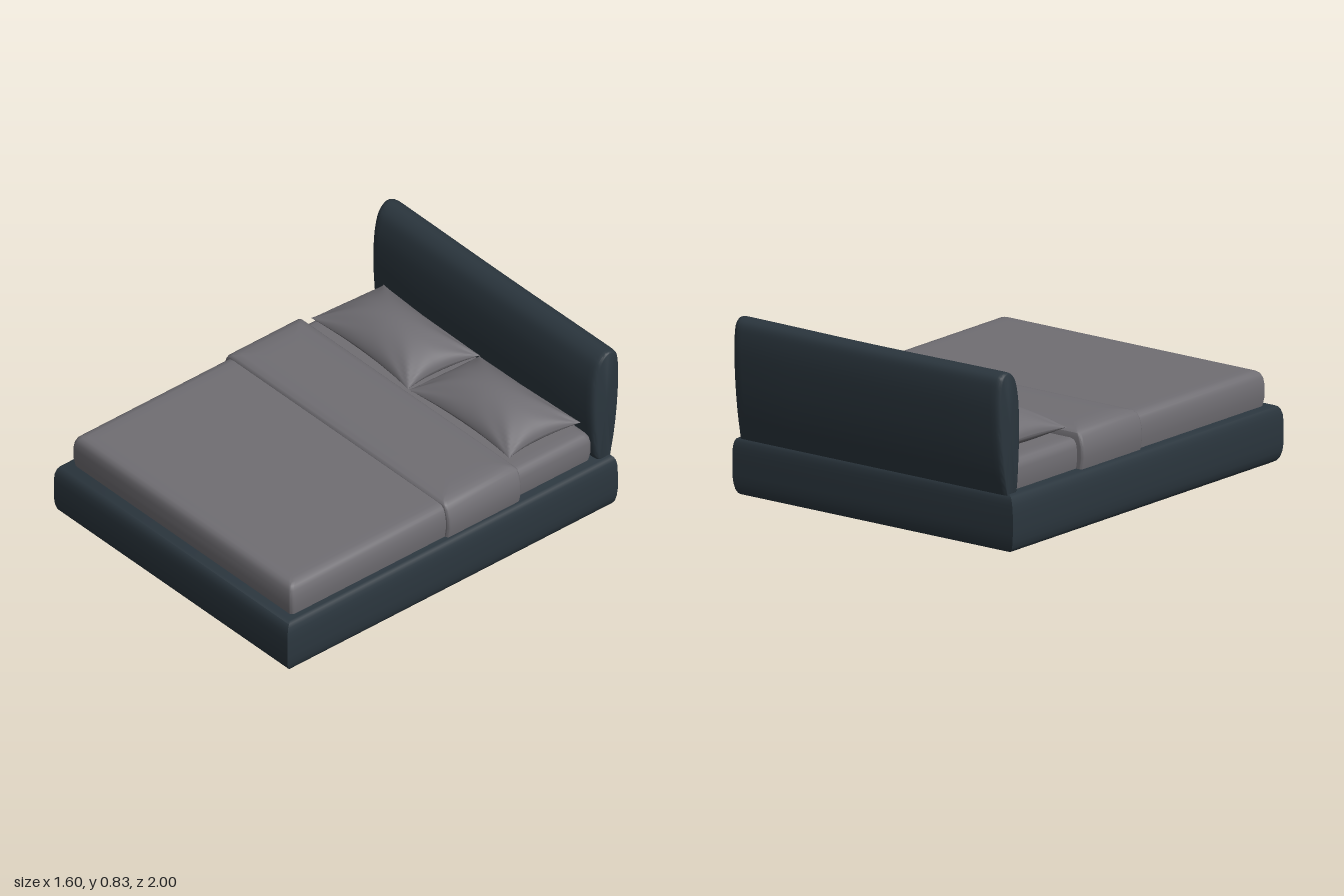
import * as THREE from 'three';
import { toCreasedNormals } from 'three/addons/utils/BufferGeometryUtils.js';

// Skin over a stack of closed rings, capped at both ends
function loft(rings, crease = 0.7) {
  const n = rings[0].length, pos = [], idx = [];
  rings.forEach(r => r.forEach(p => pos.push(p.x, p.y, p.z)));
  for (let j = 0; j < rings.length - 1; j++) {
    for (let i = 0; i < n; i++) {
      const a = j * n + i, b = j * n + (i + 1) % n;
      idx.push(a, a + n, b, b, a + n, b + n);
    }
  }
  [0, rings.length - 1].forEach((j, end) => {
    const c = rings[j].reduce((s, p) => s.add(p), new THREE.Vector3()).divideScalar(n);
    const centre = pos.length / 3;
    pos.push(c.x, c.y, c.z);
    for (let i = 0; i < n; i++) {
      const a = j * n + i, b = j * n + (i + 1) % n;
      if (end) idx.push(centre, b, a); else idx.push(centre, a, b);
    }
  });
  const g = new THREE.BufferGeometry();
  g.setAttribute('position', new THREE.Float32BufferAttribute(pos, 3));
  g.setIndex(idx);
  return toCreasedNormals(g, crease);
}

// Horizontal rectangle with corner radius r (r = 0 keeps square corners)
function rectRing([y, hx, zBack, zFront], r) {
  const steps = r > 0 ? 5 : 1, ring = [];
  const corners = [[1, 1], [-1, 1], [-1, -1], [1, -1]];
  corners.forEach(([sx, sz], q) => {
    for (let k = 0; k < steps; k++) {
      const t = (q + (steps > 1 ? k / (steps - 1) : 0)) * Math.PI / 2;
      ring.push(new THREE.Vector3(
        sx * (hx - r) + r * Math.cos(t), y,
        (sz > 0 ? zFront - r : zBack + r) + r * Math.sin(t)));
    }
  });
  return ring;
}
const cushion = (levels, r) => loft(levels.map(l => rectRing(l, r)));

// Padded headboard: side profile swept across the width, slightly thinner at the ends
function headboardGeometry() {
  const profile = new THREE.CatmullRomCurve3([
    [0.262, -0.868], [0.275, -0.86], [0.40, -0.845], [0.58, -0.838], [0.72, -0.85], [0.80, -0.88],
    [0.832, -0.93], [0.815, -0.98], [0.74, -0.999], [0.55, -0.993], [0.38, -0.97], [0.262, -0.943],
  ].map(([y, z]) => new THREE.Vector3(0, y, z)), false, 'centripetal').getPoints(55);
  // [x, thickness scale, height scale]
  const half = [[0.761, 0.72, 0.985], [0.758, 0.84, 0.993], [0.75, 0.93, 0.998], [0.735, 0.98, 1],
    [0.71, 1, 1], [0.45, 1, 0.997], [0.2, 1, 0.993]];
  const stations = [...half.map(([x, t, h]) => [-x, t, h]), [0, 1, 0.992],
    ...half.slice().reverse()];
  return loft(stations.map(([x, thick, h]) => profile.map(p => new THREE.Vector3(
    x, 0.262 + (p.y - 0.262) * h, -0.925 + (p.z + 0.925) * thick))), 0.9);
}

// Pillow: two domed sheets meeting at a pinched seam, stretched between four corners
function pillowGeometry([bl, br, fr, fl]) {
  const N = 36, M = 28, seam = 0.455, pos = [], idx = [];
  for (const side of [1, -1]) {
    const start = pos.length / 3;
    for (let j = 0; j <= M; j++) {
      for (let i = 0; i <= N; i++) {
        const u = -Math.cos(i / N * Math.PI), v = -Math.cos(j / M * Math.PI);
        const du = Math.max(0, 1 - u * u), dv = Math.max(0, 1 - v * v);
        const s = (u * (1 - 0.1 * dv) + 1) / 2, t = (v * (1 - 0.13 * du) + 1) / 2;
        const mix = k => (bl[k] * (1 - s) + br[k] * s) * (1 - t) + (fl[k] * (1 - s) + fr[k] * s) * t;
        const dome = Math.pow(du, 0.45) * Math.pow(dv, 0.66);
        // soft creases radiating from the corners
        const fold = 0.006 * Math.sin(9 * Math.atan2(1.02 - Math.abs(v), 1.02 - Math.abs(u)))
          * Math.min(1, dome * 4) * Math.pow(Math.abs(u * v), 0.8);
        pos.push(mix(0), seam + (side > 0 ? 0.12 * dome + fold : -0.05 * Math.min(1, dome * 1.5)), mix(1));
      }
    }
    for (let j = 0; j < M; j++) {
      for (let i = 0; i < N; i++) {
        const a = start + j * (N + 1) + i, b = a + 1, c = a + N + 1, d = c + 1;
        if (side > 0) idx.push(a, c, b, b, c, d); else idx.push(a, b, c, b, d, c);
      }
    }
  }
  const g = new THREE.BufferGeometry();
  g.setAttribute('position', new THREE.Float32BufferAttribute(pos, 3));
  g.setIndex(idx);
  g.computeVertexNormals();
  return g;
}

export function createModel() {
  const upholstery = new THREE.MeshStandardMaterial({ color: 0x2b363e });
  upholstery.name = 'dark slate upholstery';
  const linen = new THREE.MeshStandardMaterial({ color: 0x706e73 });
  linen.name = 'grey linen';

  const bed = new THREE.Group();
  bed.name = 'bed';
  const add = (name, geometry, material) => {
    const mesh = new THREE.Mesh(geometry, material);
    mesh.name = name;
    bed.add(mesh);
  };

  // Bulging padded base with mitred corners: [y, half width, back z, front z]
  add('base', cushion([
    [0, 0.768, -0.93, 0.955], [0.006, 0.779, -0.936, 0.972], [0.022, 0.789, -0.942, 0.987],
    [0.05, 0.796, -0.947, 0.996], [0.09, 0.80, -0.95, 1], [0.18, 0.80, -0.95, 1],
    [0.22, 0.797, -0.95, 0.997], [0.245, 0.791, -0.947, 0.989], [0.259, 0.783, -0.942, 0.977],
    [0.266, 0.77, -0.935, 0.96],
  ], 0), upholstery);

  add('headboard', headboardGeometry(), upholstery);

  // Mattress, seen uncovered at the head end
  add('mattress', cushion([
    [0.26, 0.73, -0.85, 0.9], [0.30, 0.737, -0.856, 0.9], [0.36, 0.737, -0.856, 0.9],
    [0.385, 0.732, -0.851, 0.895], [0.4, 0.72, -0.84, 0.885], [0.406, 0.70, -0.82, 0.87],
    [0.406, 0.66, -0.78, 0.83],
  ], 0.025), linen);

  // Blanket over the foot end
  add('blanket', cushion([
    [0.26, 0.745, -0.38, 0.928], [0.31, 0.753, -0.38, 0.936], [0.36, 0.753, -0.38, 0.936],
    [0.395, 0.747, -0.38, 0.932], [0.415, 0.738, -0.38, 0.924], [0.426, 0.724, -0.38, 0.91],
    [0.43, 0.70, -0.38, 0.89], [0.43, 0.66, -0.34, 0.85],
  ], 0.02), linen);

  // Turned-back fold across the blanket
  add('blanketFold', cushion([
    [0.26, 0.762, -0.408, 0.025], [0.32, 0.774, -0.41, 0.025], [0.37, 0.771, -0.41, 0.025],
    [0.41, 0.76, -0.41, 0.025], [0.432, 0.746, -0.408, 0.024], [0.444, 0.728, -0.395, 0.014],
    [0.451, 0.70, -0.365, -0.015], [0.455, 0.65, -0.31, -0.07], [0.455, 0.6, -0.27, -0.11],
  ], 0.016), linen);

  // Pillow corners in x, z: back right, back left, front left, front right
  add('rightPillow', pillowGeometry([[-0.668, -0.835], [0.015, -0.815], [-0.004, -0.405], [-0.692, -0.425]]), linen);
  add('leftPillow', pillowGeometry([[0.015, -0.81], [0.69, -0.828], [0.682, -0.41], [0, -0.405]]), linen);

  return bed;
}
